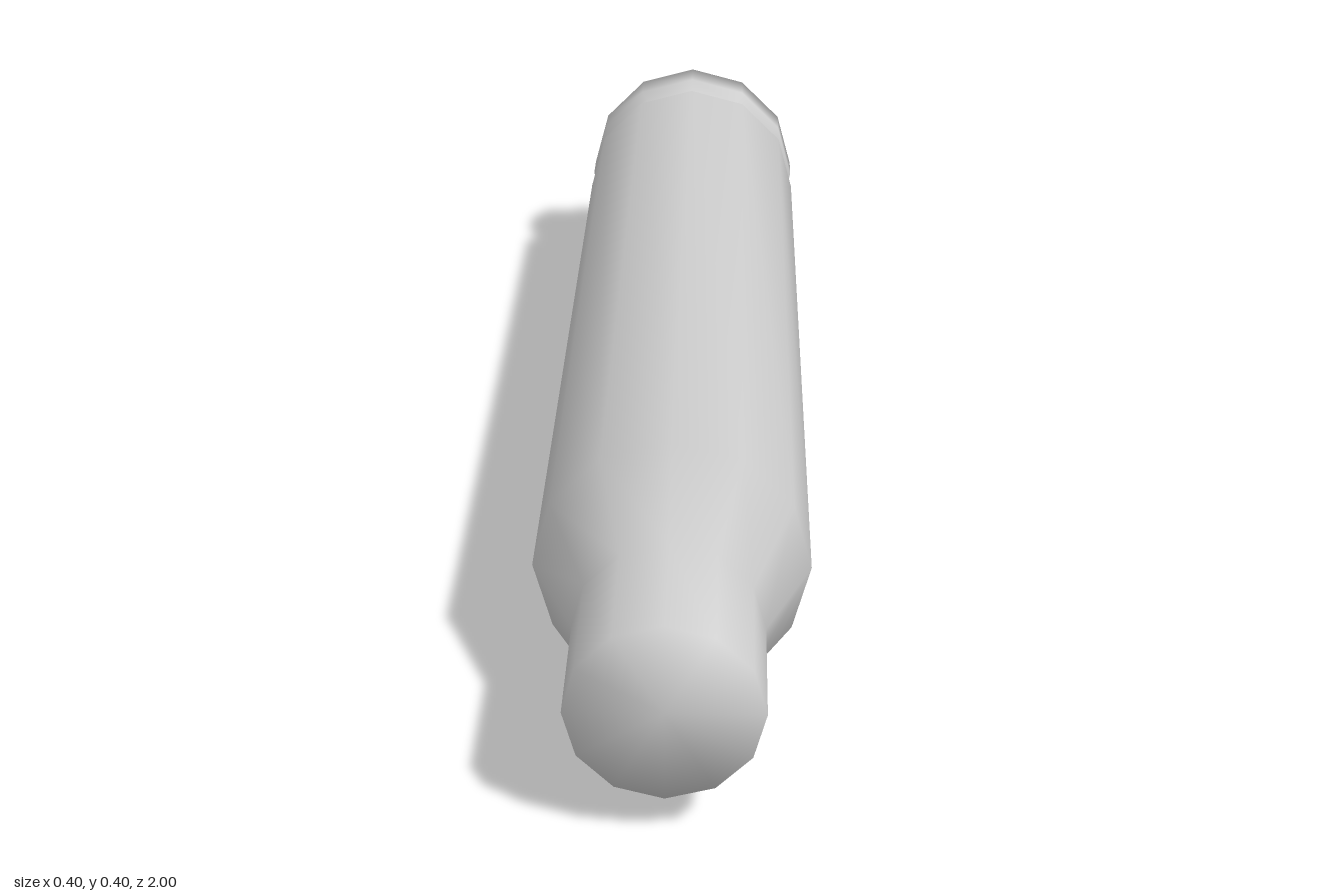
import * as THREE from 'three';
import { mergeVertices } from 'three/addons/utils/BufferGeometryUtils.js';

const SIDES = 12;
const RADIUS = 0.201;

export function createModel() {
  const group = new THREE.Group();
  group.name = 'cartridgeCase';

  // Radius and length along the axis, from the base to the mouth
  const profile = [
    [0, -1], [RADIUS, -1], [RADIUS, -0.935],   // rim
    [0.174, -0.935], [0.174, -0.867],          // extractor groove
    [RADIUS, -0.867], [RADIUS, 0.63],          // body
    [0.134, 0.793], [0.134, 1], [0, 1],        // shoulder, neck and closed mouth
  ].map(([r, z]) => new THREE.Vector2(r, z));

  // Weld the turned shape so its normals blend over every edge
  let geometry = new THREE.LatheGeometry(profile, SIDES);
  geometry.deleteAttribute('normal');
  geometry.deleteAttribute('uv');
  geometry = mergeVertices(geometry, 1e-4);
  geometry.computeVertexNormals();

  // Lay the axis along z and rest the case on the ground
  geometry.rotateX(Math.PI / 2);
  geometry.translate(0, RADIUS, 0);

  const casing = new THREE.Mesh(geometry, new THREE.MeshStandardMaterial({ color: 0xcccccc }));
  casing.name = 'casing';
  group.add(casing);
  return group;
}
